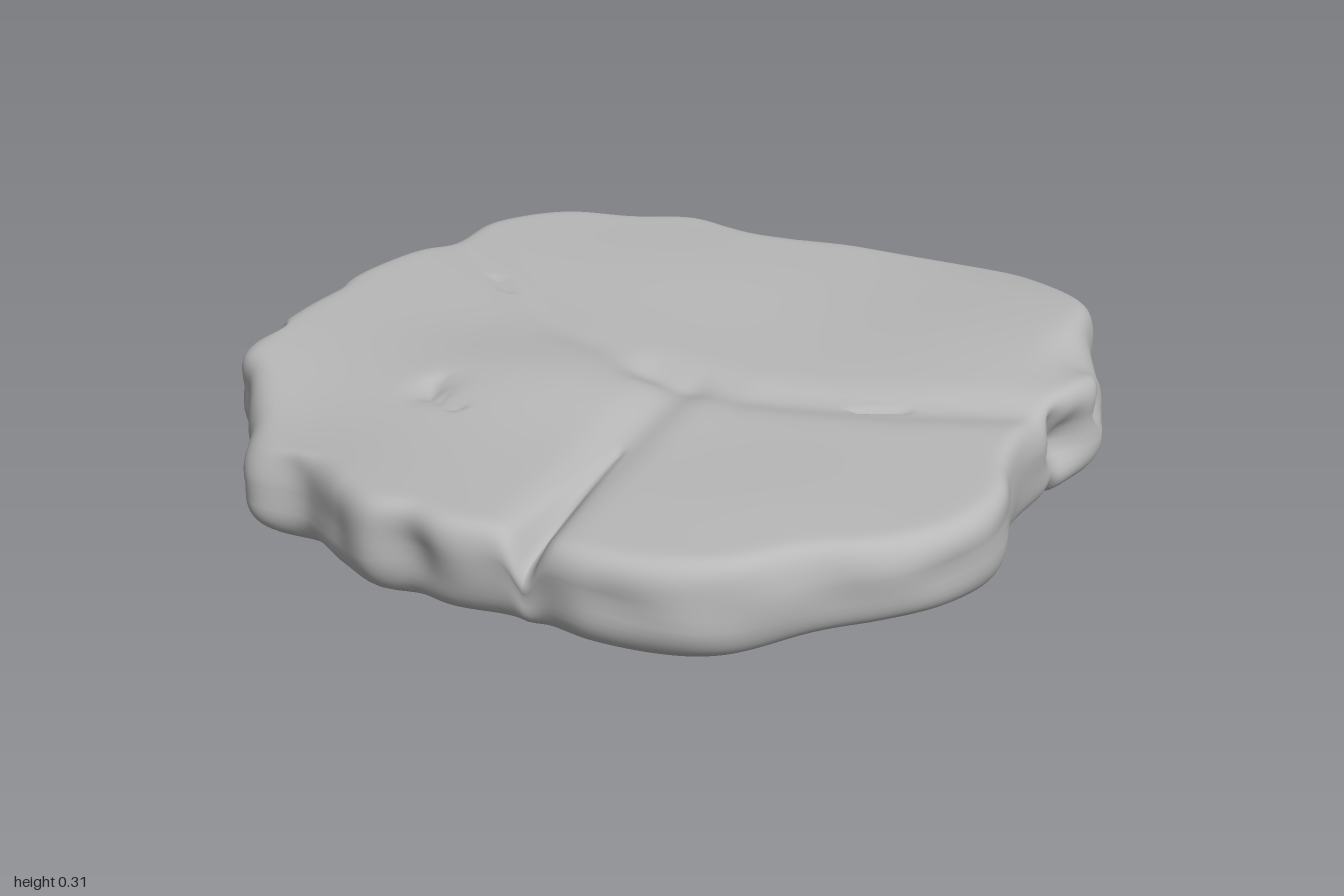
import * as THREE from 'three';
import { mergeVertices } from 'three/addons/utils/BufferGeometryUtils.js';

// Rim of the slab as x, z pairs: back, right, front, left
const RIM = [
  0.45, -0.98, 0.57, -0.95, 0.73, -0.85, 0.80, -0.70, 0.90, -0.55, 0.935, -0.45, 0.93, -0.35,
  0.91, -0.22, 0.915, -0.05, 0.94, 0.08, 0.99, 0.2, 0.995, 0.31, 0.96, 0.45, 0.88, 0.57,
  0.76, 0.68, 0.63, 0.83, 0.5, 0.9, 0.35, 0.935, 0.24, 0.93, 0.19, 0.935, 0.12, 0.945, 0, 0.97,
  -0.1, 0.955, -0.2, 0.97, -0.32, 0.92, -0.45, 0.85, -0.62, 0.85, -0.75, 0.68, -0.88, 0.53,
  -0.95, 0.47, -0.97, 0.38, -0.985, 0.2, -0.985, 0.07, -1, -0.02, -0.98, -0.2, -0.92, -0.4,
  -0.9, -0.54, -0.78, -0.70, -0.6, -0.77, -0.42, -0.865, -0.1, -0.89, 0.1, -0.925,
];

// Soft swellings and hollows: x, z, spread x, spread z, height
const TOP_BUMPS = [
  [-0.2, 0.27, 0.32, 0.22, 0.034], [0.6, -0.4, 0.35, 0.35, 0.025], [0.55, 0.55, 0.25, 0.22, 0.014],
  [-0.3, -0.5, 0.4, 0.25, 0.012], [-0.75, 0.8, 0.35, 0.28, -0.06], [0.86, -0.62, 0.07, 0.16, -0.07],
  [-0.25, -0.87, 0.14, 0.04, -0.05], [-0.38, 0.44, 0.05, 0.06, -0.014], [0.4, -1, 0.4, 0.15, -0.02],
];
const BASE_BUMPS = [
  [-0.55, 0.4, 0.4, 0.35, -0.028], [0.8, 0.45, 0.28, 0.35, 0.05], [0.4, -0.95, 0.4, 0.2, 0.03],
  [0.3, -0.4, 0.4, 0.3, -0.008], [0.1, 0.95, 0.4, 0.15, 0.02],
];

// Grooves: path of x, z points, width, depth
const TOP_GROOVES = [
  [[[-1, -0.42], [-0.62, -0.2], [-0.3, -0.01], [0, 0.08]], 0.07, 0.014],
  [[[0, 0.08], [0.25, 0.08], [0.6, -0.04], [0.93, -0.2]], 0.07, 0.02],
  [[[0.1, 0.1], [0.15, 0.48], [0.2, 0.95]], 0.06, 0.02],
  [[[-0.65, -0.21], [-0.58, -0.155]], 0.012, 0.01],
  [[[0.5, 0], [0.6, -0.05]], 0.012, 0.01],
  [[[-0.4, 0.4], [-0.37, 0.47], [-0.27, 0.5]], 0.014, 0.012],
];
const BASE_GROOVES = [
  [[[0.9, -0.25], [0.45, -0.02], [0.05, 0.1], [-0.5, 0.1]], 0.025, 0.022],
  [[[0.75, -0.22], [0.2, -0.1], [-0.5, -0.3], [-0.85, -0.4]], 0.02, 0.016],
  [[[0.5, 0.35], [0.3, 0.55]], 0.016, 0.018],
  [[[0.2, 0.25], [0.1, 0.42]], 0.016, 0.018],
];

// Chips bitten out of the side: x, y, z, spread, spread y, depth
const CHIPS = [
  [0.93, 0.17, -0.32, 0.07, 0.06, 0.06], [0.93, 0.2, -0.49, 0.05, 0.05, 0.045],
  [0.91, 0.22, -0.25, 0.035, 0.05, 0.04], [-0.99, 0.25, 0.07, 0.025, 0.09, 0.08],
  [-0.97, 0.25, 0.34, 0.035, 0.07, 0.07], [-0.95, 0.14, 0.43, 0.04, 0.06, 0.03],
  [-0.55, 0.22, 0.86, 0.09, 0.06, 0.035], [-0.25, 0.27, -0.89, 0.12, 0.04, 0.03],
  [-0.05, 0.17, 0.97, 0.08, 0.06, 0.02],
];

const gauss = (...d) => Math.exp(-d.reduce((sum, v) => sum + v * v, 0));

// Distance to a segment and the position along it
function toSegment(x, z, [ax, az], [bx, bz]) {
  const dx = bx - ax, dz = bz - az;
  const t = THREE.MathUtils.clamp(((x - ax) * dx + (z - az) * dz) / (dx * dx + dz * dz), 0, 1);
  return [Math.hypot(x - ax - dx * t, z - az - dz * t), t];
}

function relief(x, z, bumps, grooves, inward) {
  let y = 0;
  for (const [bx, bz, sx, sz, h] of bumps) y += h * gauss((x - bx) / sx, (z - bz) / sz);
  for (const [path, width, depth] of grooves) {
    let d = Infinity;
    for (let i = 1; i < path.length; i++) d = Math.min(d, toSegment(x, z, path[i - 1], path[i])[0]);
    y += inward * depth * gauss(d / width);
  }
  return y;
}

function topHeight(x, z) {
  // Crack that widens towards the front rim
  const [d, t] = toSegment(x, z, [0.15, 0.47], [0.205, 0.97]);
  const crack = (0.01 + 0.09 * t * t) * gauss(d / (0.012 + 0.022 * t));
  return 0.292 + relief(x, z, TOP_BUMPS, TOP_GROOVES, -1) - crack
    + 0.003 * Math.sin(5 * x + 3 * z) * Math.sin(4 * z - 2 * x);
}

function baseHeight(x, z) {
  return 0.035 + relief(x, z, BASE_BUMPS, BASE_GROOVES, 1)
    + 0.004 * Math.sin(6 * x - 4 * z) * Math.sin(5 * z + x);
}

// Cross-section from the top centre round the rim to the base centre:
// distance from centre, and height share (+1 top, -1 base)
function crossSection() {
  const rings = [], flat = 44, round = 11;
  for (let i = 0; i < flat; i++) rings.push([i / flat * 0.92, 1]);
  for (let i = 0; i <= 2 * round; i++) {
    const q = Math.PI / 2 * (1 - i / round);
    const w = q > 0 ? 0.08 : 0.12;
    const s = Math.sin(q);
    rings.push([1 - w + w * Math.pow(Math.max(0, Math.cos(q)), 0.75), Math.sign(s) * Math.pow(Math.abs(s), 0.75)]);
  }
  for (let i = flat - 1; i >= 0; i--) rings.push([i / flat * 0.88, -1]);
  return rings;
}

function slabGeometry() {
  const columns = 420, cx = 0.12, rim = [];
  for (let i = 0; i < RIM.length; i += 2) rim.push(new THREE.Vector3(RIM[i], 0, RIM[i + 1]));
  const edge = new THREE.CatmullRomCurve3(rim, true).getSpacedPoints(columns);
  const rings = crossSection(), positions = [], index = [];

  rings.forEach(([s, share], j) => {
    for (let i = 0; i < columns; i++) {
      const a = i / columns * Math.PI * 2;
      let x = cx + (edge[i].x - cx) * s, z = edge[i].z * s;
      const top = topHeight(x, z), base = baseHeight(x, z);
      const middle = base + (top - base) * (0.55 + 0.08 * Math.sin(5 * a + 1));
      const y = share >= 0 ? middle + (top - middle) * share : middle + (middle - base) * share;
      // Worn, chipped side
      if (s > 0.75) {
        const fade = THREE.MathUtils.smoothstep(s, 0.75, 0.95);
        let cut = 0.008 * (1 + Math.sin(17 * a + 14 * y) * Math.sin(9 * a - 20 * y)) * (1 - Math.abs(share));
        for (const [px, py, pz, sp, sy, depth] of CHIPS)
          cut += depth * gauss((x - px) / sp, (y - py) / sy, (z - pz) / sp);
        const r = Math.hypot(x, z);
        x -= x / r * cut * fade;
        z -= z / r * cut * fade;
      }
      positions.push(x, y, z);
      if (j < rings.length - 1) {
        const n = (i + 1) % columns, p = j * columns, q = p + columns;
        if (j > 0) index.push(p + i, p + n, q + i);
        else index.push(p, q + n, q + i);
        if (j > 0 && j < rings.length - 2) index.push(p + n, q + n, q + i);
      }
    }
  });

  let geometry = new THREE.BufferGeometry();
  geometry.setAttribute('position', new THREE.Float32BufferAttribute(positions, 3));
  geometry.setIndex(index);
  geometry = mergeVertices(geometry, 1e-5);
  geometry.computeBoundingBox();
  geometry.translate(0, -geometry.boundingBox.min.y, 0);
  geometry.computeVertexNormals();
  return geometry;
}

export function createModel() {
  const group = new THREE.Group();
  group.name = 'flatStone';
  const stone = new THREE.MeshStandardMaterial({ color: 0xb8b8b8 });
  stone.name = 'stoneGrey';
  const slab = new THREE.Mesh(slabGeometry(), stone);
  slab.name = 'stoneSlab';
  group.add(slab);
  return group;
}
